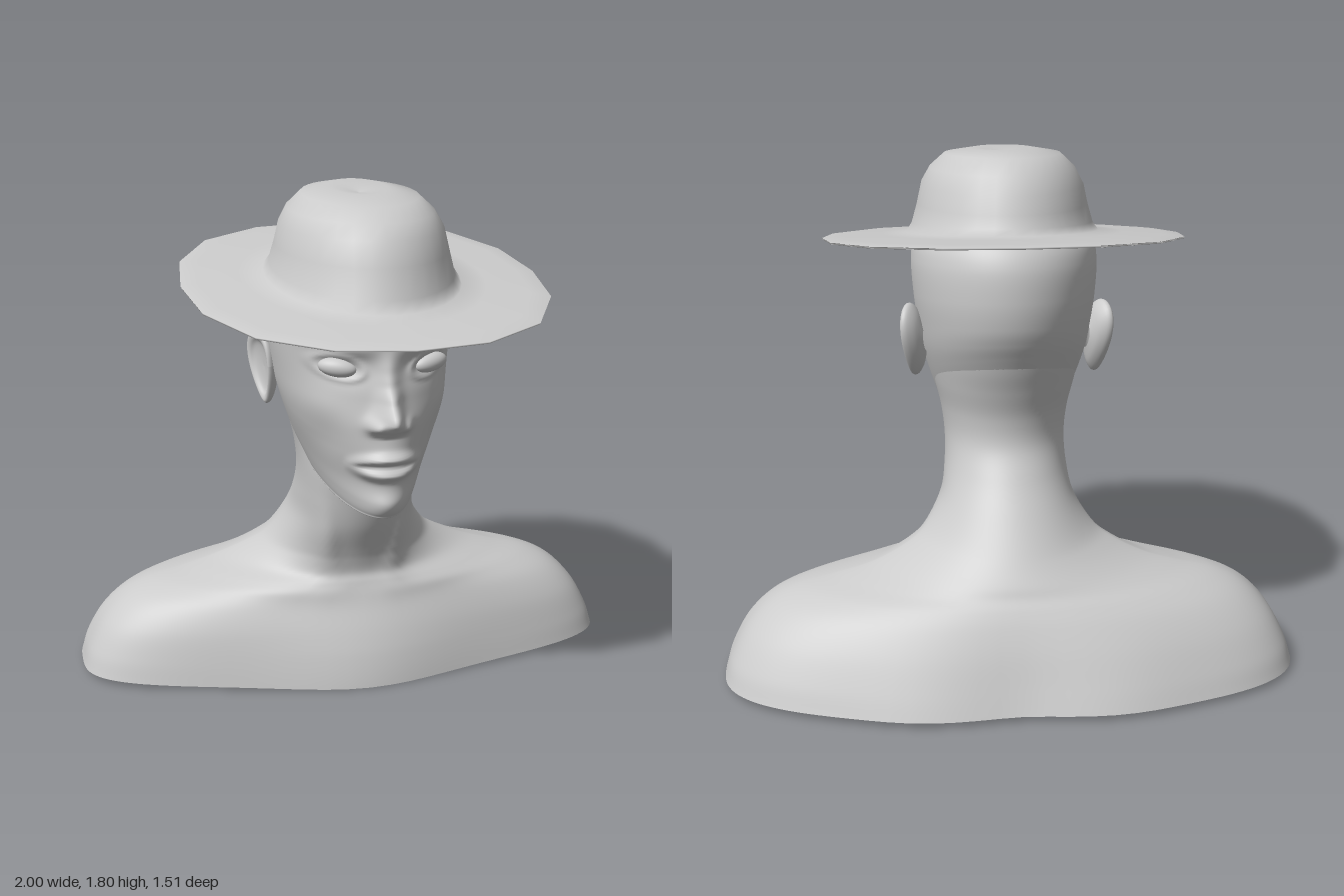
import * as THREE from 'three';

const grey = new THREE.MeshStandardMaterial({ color: 0xcccccc, side: THREE.DoubleSide });

// Closed-ring loft: point(v, angle) for v in 0..1, angle 0 faces +z
function loft(name, rows, cols, point) {
  const pos = [], index = [];
  for (let i = 0; i <= rows; i++) {
    for (let j = 0; j < cols; j++) pos.push(...point(i / rows, (j / cols) * Math.PI * 2, j));
  }
  for (let i = 0; i < rows; i++) {
    for (let j = 0; j < cols; j++) {
      const k = (j + 1) % cols;
      const a = i * cols + j, b = i * cols + k, c = a + cols, d = b + cols;
      index.push(a, b, d, a, d, c);
    }
  }
  const g = new THREE.BufferGeometry();
  g.setAttribute('position', new THREE.Float32BufferAttribute(pos, 3));
  g.setIndex(index);
  g.computeVertexNormals();
  const mesh = new THREE.Mesh(g, grey);
  mesh.name = name;
  return mesh;
}

// Smooth interpolation through the rows of a section table
function sections(table) {
  const f = new THREE.CubicInterpolant(
    new Float32Array(table.map((_, i) => i)), new Float32Array(table.flat()), table[0].length);
  return v => f.evaluate(v * (table.length - 1));
}

const bell = (d, s) => Math.exp(-((d / s) ** 2));
const spot = (x, y, cx, cy, sx, sy) => bell(x - cx, sx) * bell(y - cy, sy);

// Softened lookup through [key, value] pairs
function ramp(pairs, k) {
  for (let i = 1; i < pairs.length; i++) {
    const [a, p] = pairs[i - 1], [b, q] = pairs[i];
    if (k >= a && k <= b) return p + (q - p) * 0.5 * (THREE.MathUtils.smoothstep(k, a, b) + (k - a) / (b - a));
  }
  return 0;
}

// y, half width, side z, front z, back z, front power, back power
const bodyTable = [
  [0.02, 1.0, -0.29, 0.095, -0.76, 0.6, 0.72],
  [0.1, 0.975, -0.29, 0.084, -0.727, 0.62, 0.74],
  [0.2, 0.92, -0.285, 0.07, -0.685, 0.68, 0.82],
  [0.28, 0.84, -0.28, 0.054, -0.645, 0.82, 0.95],
  [0.33, 0.74, -0.28, 0.045, -0.615, 1.05, 1.15],
  [0.365, 0.6, -0.28, 0.04, -0.59, 1.25, 1.35],
  [0.4, 0.48, -0.28, 0.036, -0.57, 1.45, 1.45],
  [0.45, 0.37, -0.26, 0.053, -0.535, 1.4, 1.4],
  [0.5, 0.3, -0.23, 0.077, -0.5, 1.2, 1.25],
  [0.6, 0.235, -0.17, 0.13, -0.43, 1, 1],
  [0.7, 0.215, -0.1, 0.165, -0.36, 1, 1],
  [0.8, 0.212, -0.06, 0.19, -0.305, 1, 1],
  [0.9, 0.224, -0.05, 0.18, -0.303, 1, 1],
  [1.0, 0.248, -0.05, 0.18, -0.333, 1, 1],
  [1.08, 0.263, -0.05, 0.18, -0.363, 1, 1],
  [1.16, 0.272, -0.05, 0.18, -0.388, 1, 1],
];

// front y, back y, half width, side z, front z, back z
const headTable = [
  [0.7, 0.85, 0.09, 0.05, 0.14, -0.2],
  [0.72, 0.98, 0.183, 0.02, 0.36, -0.29],
  [0.735, 1.01, 0.198, 0, 0.395, -0.318],
  [0.78, 1.05, 0.216, -0.02, 0.408, -0.345],
  [0.85, 1.09, 0.238, -0.04, 0.405, -0.364],
  [0.95, 1.14, 0.264, -0.05, 0.425, -0.39],
  [1.05, 1.19, 0.286, -0.05, 0.44, -0.415],
  [1.15, 1.25, 0.3, -0.05, 0.43, -0.435],
  [1.27, 1.34, 0.314, -0.05, 0.422, -0.445],
  [1.4, 1.45, 0.32, -0.04, 0.437, -0.435],
  [1.48, 1.53, 0.3, -0.03, 0.4, -0.39],
  [1.58, 1.6, 0.22, -0.02, 0.28, -0.3],
  [1.63, 1.63, 0, 0, 0, 0],
];

const noseHeight = [[1.02, 0], [1.04, 0.03], [1.06, 0.07], [1.085, 0.1], [1.1, 0.1], [1.15, 0.06], [1.2, 0.03], [1.25, 0.02], [1.33, 0]];

// Forward relief of the face at (x, y)
function faceRelief(x, y) {
  const ax = Math.abs(x);
  let d = ramp(noseHeight, y) * bell(x, 0.035 + 0.015 * bell(y - 1.06, 0.05));
  d += 0.034 * spot(ax, y, 0.055, 1.065, 0.023, 0.022);            // nostril wings
  d += 0.018 * spot(ax, y, 0, 0.95, 0.09, 0.06);                   // muzzle
  const lip = Math.max(0, 1 - (ax / 0.135) ** 2.5);
  d += 0.031 * lip * (bell(y - 0.918 - 0.03 * lip, 0.019) + bell(y - 0.916 + 0.032 * lip, 0.019));
  d -= 0.01 * lip * bell(y - 0.917, 0.008);                        // mouth line
  d += 0.012 * spot(ax, y, 0, 0.775, 0.06, 0.035);                 // chin
  d += 0.014 * spot(ax, y, 0.14, 1.315, 0.08, 0.032);              // brow
  d += 0.014 * spot(ax, y, 0.22, 1.12, 0.07, 0.06);                // cheekbone
  d -= 0.012 * spot(ax, y, 0.2, 0.98, 0.06, 0.07);                 // cheek hollow
  d -= 0.018 * spot(ax, y, 0.125, 1.25, 0.075, 0.045);             // eye socket
  const e = Math.hypot((ax - 0.158) / 0.066, (y - 1.25 - 0.12 * (ax - 0.158)) / 0.034);
  return d + 0.009 * bell(e - 1.15, 0.25);                         // eyelids
}

function makeBody() {
  const at = sections(bodyTable);
  return loft('shouldersAndNeck', 100, 144, (v, u) => {
    const t = u + 0.4 * Math.sin(2 * u); // denser at the shoulder ends
    const [y, w, side, front, back, pf, pb] = at(v);
    const c = Math.cos(t), x = w * Math.sin(t), ax = Math.abs(x);
    let z = c > 0 ? side + (front - side) * c ** pf : side + (back - side) * (-c) ** pb;
    if (c > 0) {
      const k = Math.min(1, c * 3);
      z += k * 0.085 * bell(x, 0.36) * bell(y, 0.3);                                       // chest
      z += k * 0.022 * bell(ax - (0.12 + 0.12 * (y - 0.38)), 0.035) * bell(y - 0.54, 0.17); // neck muscles
      z += k * 0.01 * bell(y - 0.33 - 0.06 * ax, 0.035) * bell(ax - 0.3, 0.2);             // collar bones
    } else {
      z += 0.015 * bell(x, 0.14) * bell(y, 0.3);                                           // spine hollow
      z -= 0.02 * bell(ax - 0.35, 0.2) * bell(y, 0.25);                                    // shoulder blades
    }
    return [x, y - 0.02 * Math.max(c, 0) ** 4 * Math.max(0, 1 - v * 12), z];
  });
}

function makeHead() {
  const at = sections(headTable);
  return loft('head', 160, 144, (v, u) => {
    const t = u - 0.5 * Math.sin(u); // denser at the face
    const [yf, yb, w, side, front, back] = at(v);
    const c = Math.cos(t);
    const taper = 0.22 * Math.max(c, 0) * (1 - THREE.MathUtils.smoothstep(yf, 0.72, 1)); // towards the chin
    const x = w * Math.sin(t) * (1 - taper);
    const y = yf + (yb - yf) * ((1 - c) / 2) ** 1.2;
    const z = side + (c > 0 ? front - side : side - back) * c;
    return [x, y, z + (c > 0 ? faceRelief(x, y) * Math.min(1, c * 3) : 0)];
  });
}

// half x, centre z, half z, y, slope along z
const hatRings = [
  [0.3, 0.03, 0.41, 1.475, -0.126],
  [0.622, 0.035, 0.713, 1.474, -0.126],
  [0.625, 0.035, 0.715, 1.48, -0.126],
  [0.56, 0.035, 0.655, 1.487, -0.126],
  [0.42, 0.035, 0.53, 1.493, -0.126],
  [0.335, 0.035, 0.45, 1.499, -0.126],
  [0.314, 0.03, 0.425, 1.53, -0.11],
  [0.295, 0.025, 0.405, 1.6, -0.04],
  [0.28, 0.02, 0.375, 1.67, -0.01],
  [0.25, 0.015, 0.335, 1.725, -0.03],
  [0.2, 0.01, 0.265, 1.772, -0.05],
  [0.1, -0.01, 0.15, 1.792, -0.06],
  [0, 0, 0, 1.772, 0],
];

// Corner of the sixteen-sided brim, slightly squarer than an ellipse
function brimCorner(t) {
  const k = 1 + 0.05 * Math.sin(2 * t) ** 2;
  return [k * Math.sin(t), k * Math.cos(t)];
}

function makeHat() {
  return loft('hat', hatRings.length - 1, 32, (v, t, j) => {
    const i = Math.round(v * (hatRings.length - 1));
    const [a, zc, b, y, slope] = hatRings[i];
    let p = [Math.sin(t), Math.cos(t)];
    if (i >= 1 && i <= 3) {
      const step = j % 2 ? Math.PI / 16 : 0;
      const q = brimCorner(t + step);
      p = brimCorner(t - step).map((n, m) => (n + q[m]) / 2);
    }
    return [a * p[0], y + slope * b * p[1], zc + b * p[1]];
  });
}

// Cupped ear with a rolled rim, tapering to the lobe
function makeEar() {
  const profile = [[0.3, -1.3], [0.7, -0.8], [0.95, -0.1], [1, 0.45], [0.93, 0.75], [0.8, 0.65], [0.66, 0.3], [0.4, 0.1], [0.001, 0]];
  const curve = new THREE.SplineCurve(profile.map(p => new THREE.Vector2(...p)));
  const g = new THREE.LatheGeometry(curve.getPoints(28), 40);
  g.rotateZ(-Math.PI / 2);
  const p = g.attributes.position;
  for (let i = 0; i < p.count; i++) {
    const y = p.getY(i);
    p.setXYZ(i, p.getX(i) * 0.03, y * 0.132, p.getZ(i) * (0.068 + 0.027 * y));
  }
  g.computeVertexNormals();
  const ear = new THREE.Mesh(g, grey);
  ear.name = 'ear';
  ear.position.set(0.316, 1.15, -0.125);
  ear.rotation.set(-0.2, -0.35, -0.12);
  return ear;
}

function makeEye() {
  const eye = new THREE.Mesh(new THREE.SphereGeometry(1, 32, 20), grey);
  eye.name = 'eye';
  eye.scale.set(0.066, 0.032, 0.033);
  eye.position.set(0.158, 1.25, 0.352);
  eye.rotation.set(0, 0.4, 0.12);
  return eye;
}

export function createModel() {
  const model = new THREE.Group();
  model.name = 'bustWithHat';
  model.add(makeBody(), makeHead(), makeHat());
  for (const s of [1, -1]) {
    const half = new THREE.Group();
    half.name = s > 0 ? 'leftEyeAndEar' : 'rightEyeAndEar';
    half.scale.x = s;
    half.add(makeEar(), makeEye());
    model.add(half);
  }
  return model;
}
